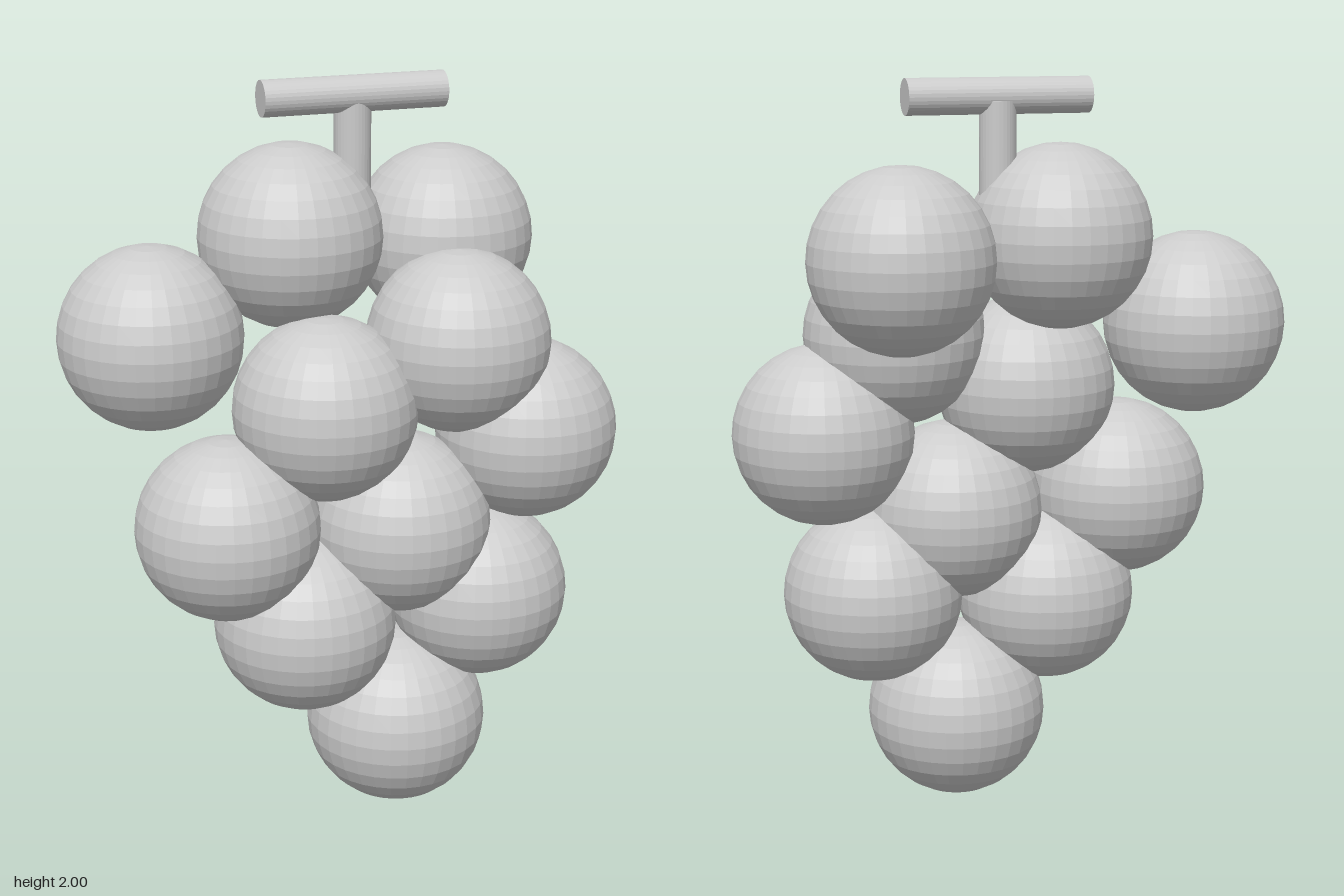
import * as THREE from 'three';

export function createModel() {
  const group = new THREE.Group();
  group.name = 'grapeBunch';
  const material = new THREE.MeshStandardMaterial({ color: 0xcccccc, flatShading: true });

  const add = (name, geometry, x, y, z) => {
    const mesh = new THREE.Mesh(geometry, material);
    mesh.name = name;
    mesh.position.set(x, y, z);
    group.add(mesh);
    return mesh;
  };

  // Grapes: equal spheres, centres listed from top to bottom
  const grape = new THREE.SphereGeometry(0.246, 32, 16);
  const centres = [
    [-0.115, 1.585, -0.06],
    [0.335, 1.54, -0.125],
    [-0.498, 1.34, -0.06],
    [0.293, 1.313, 0.125],
    [-0.078, 1.16, 0.125],
    [0.492, 1.05, 0.125],
    [-0.348, 0.855, 0.125],
    [0.132, 0.82, 0.125],
    [-0.137, 0.565, 0.125],
    [0.36, 0.6, 0.125],
    [0.125, 0.25, 0.125],
  ];
  centres.forEach(([x, y, z], i) => add(`grape${i + 1}`, grape, x, y, z));

  // Stem: upright stalk with a crossbar on top
  add('stalk', new THREE.CylinderGeometry(0.049, 0.049, 0.39, 32), 0.053, 1.745, -0.047);
  const bar = add('crossbar', new THREE.CylinderGeometry(0.048, 0.048, 0.498, 32), 0.052, 1.952, -0.042);
  bar.rotation.z = Math.PI / 2;

  return group;
}
